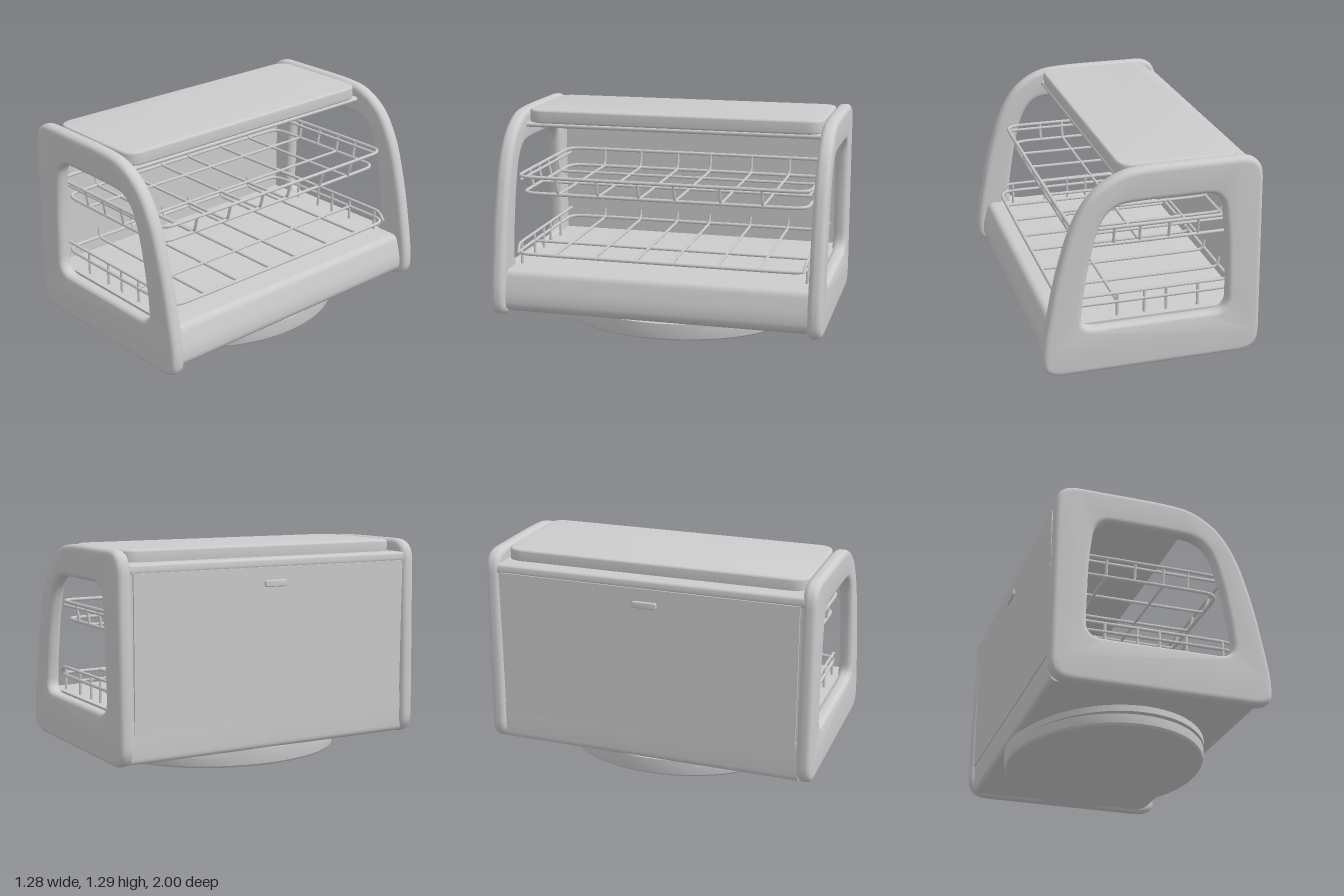
import * as THREE from 'three';
import { toCreasedNormals } from 'three/addons/utils/BufferGeometryUtils.js';

const material = new THREE.MeshStandardMaterial({ color: 0xcccccc });
const V = (x, y, z = 0) => new THREE.Vector3(x, y, z);

function add(parent, name, geometry, x = 0, y = 0, z = 0) {
  const mesh = new THREE.Mesh(geometry, material);
  mesh.name = name;
  mesh.position.set(x, y, z);
  parent.add(mesh);
  return mesh;
}

// Replaces each corner of a polyline with a small curve of size r
function roundCorners(points, r, closed) {
  const n = points.length, out = [];
  points.forEach((p, i) => {
    if (!closed && (i === 0 || i === n - 1)) return out.push(p);
    const toward = (q) => {
      const d = q.clone().sub(p);
      return p.clone().addScaledVector(d.clone().normalize(), Math.min(r, d.length() * 0.45));
    };
    const a = toward(points[(i + n - 1) % n]), b = toward(points[(i + 1) % n]);
    out.push(...new THREE.QuadraticBezierCurve3(a, p, b).getPoints(6));
  });
  return out;
}

function wire(parent, name, points, { radius = 0.009, r = 0.03, closed = false } = {}) {
  const curve = new THREE.CatmullRomCurve3(roundCorners(points, r, closed), closed, 'centripetal');
  const segments = Math.max(4, Math.ceil(curve.getLength() * 40));
  add(parent, name, new THREE.TubeGeometry(curve, segments, radius, 6, closed));
}

// Rectangular wire loop lying flat at height y
const loop = (parent, name, x0, x1, y, z, r = 0.09) =>
  wire(parent, name, [V(x0, y, -z), V(x1, y, -z), V(x1, y, z), V(x0, y, z)], { r, closed: true, radius: 0.011 });

function outline(coords, r) {
  return roundCorners(coords.map(([x, y]) => V(x, y)), r, true).map((p) => new THREE.Vector2(p.x, p.y));
}

// Soft-edged extrusion centred on z = 0, keeping the drawn outline as its outer size
function extrude(shape, depth, bevel) {
  const g = new THREE.ExtrudeGeometry(shape, {
    depth: depth - 2 * bevel, bevelEnabled: bevel > 0, bevelThickness: bevel,
    bevelSize: bevel, bevelOffset: -bevel, bevelSegments: 5, curveSegments: 8,
  });
  g.translate(0, 0, -(depth - 2 * bevel) / 2);
  return toCreasedNormals(g, 0.6);
}

// Rounded slab: the plan lies in x and z, the thickness runs along y
function slab(x0, x1, z, thickness, r, bevel) {
  const shape = new THREE.Shape(outline([[x0, -z], [x1, -z], [x1, z], [x0, z]], r));
  return extrude(shape, thickness, bevel).rotateX(-Math.PI / 2);
}

function buildPanels(group) {
  const shape = new THREE.Shape(outline([
    [-0.645, 0.085], [0.635, 0.085], [0.645, 0.25], [0.565, 0.67], [0.475, 0.98],
    [0.36, 1.17], [0.19, 1.275], [0, 1.29], [-0.622, 1.29],
  ], 0.13));
  const hole = outline([
    [-0.442, 0.362], [0.42, 0.362], [0.41, 0.52], [0.365, 0.79], [0.305, 1.0],
    [0.22, 1.085], [0.08, 1.095], [-0.39, 1.095], [-0.425, 0.82],
  ], 0.1);
  shape.holes.push(new THREE.Path(hole.reverse()));
  const geometry = extrude(shape, 0.085, 0.032);
  for (const s of [1, -1]) add(group, s > 0 ? 'frontEndPanel' : 'backEndPanel', geometry, 0, 0, s * 0.9575);
}

function buildBody(group) {
  const base = new THREE.Shape(outline([
    [-0.615, 0.1], [0.53, 0.1], [0.605, 0.14], [0.605, 0.22], [0.565, 0.368], [-0.615, 0.368],
  ], 0.04));
  add(group, 'baseTray', extrude(base, 1.85, 0));
  add(group, 'rearWall', new THREE.BoxGeometry(0.05, 0.94, 1.85), -0.585, 0.73, 0);
  add(group, 'rearDoor', new THREE.BoxGeometry(0.02, 0.89, 1.81), -0.612, 0.72, 0);
  const handle = slab(-0.02, 0.02, 0.075, 0.02, 0.015, 0.006).rotateZ(Math.PI / 2);
  add(group, 'rearHandle', handle, -0.625, 1.07, 0);

  // Roof: rounded rear shoulder, flat underside and raised lid
  const roof = new THREE.Shape(outline([
    [-0.615, 1.15], [-0.55, 1.15], [-0.53, 1.175], [0.18, 1.175], [0.18, 1.205], [-0.49, 1.215], [-0.615, 1.215],
  ], 0.025));
  add(group, 'roof', extrude(roof, 1.85, 0));
  add(group, 'roofLid', slab(-0.515, 0.18, 0.915, 0.085, 0.1, 0.014), 0, 1.2425, 0);
}

function buildFoot(group) {
  const profile = [[0, 0], [0.975, 0], [0.99, 0.012], [1, 0.055], [1, 0.105], [0, 0.105]]
    .map(([x, y]) => new THREE.Vector2(x, y));
  const foot = toCreasedNormals(new THREE.LatheGeometry(profile, 64), 0.6);
  add(group, 'foot', foot.clone().scale(0.585, 1, 0.72), -0.025, 0, 0);
  const ring = new THREE.CylinderGeometry(1, 1, 0.04, 64).scale(0.58, 1, 0.76);
  add(group, 'footCollar', ring, -0.025, 0.083, 0);
}

const crossZ = [-0.61, -0.36, -0.085, 0.135, 0.39, 0.64];

function buildUpperRack(group) {
  const rack = new THREE.Group();
  rack.name = 'upperRack';
  group.add(rack);
  loop(rack, 'topRail', -0.55, 0.43, 0.917, 0.89);
  loop(rack, 'bottomRail', -0.52, 0.39, 0.81, 0.87);
  // Cross wires bend up to the rail at both ends
  for (const z of crossZ) {
    wire(rack, 'crossWire', [V(-0.55, 0.917, z), V(-0.53, 0.81, z), V(0.4, 0.81, z), V(0.43, 0.917, z)]);
  }
  for (const x of [-0.29, -0.12, 0.05, 0.2]) {
    for (const s of [1, -1]) wire(rack, 'endPost', [V(x, 0.917, s * 0.89), V(x, 0.81, s * 0.87)]);
  }
  for (const x of [-0.29, 0.05]) wire(rack, 'longWire', [V(x, 0.81, -0.87), V(x, 0.81, 0.87)]);
  for (const s of [1, -1]) wire(rack, 'endRail', [V(-0.53, 0.89, s * 0.88), V(0.4, 0.89, s * 0.88)]);
}

function buildLowerRack(group) {
  const rack = new THREE.Group();
  rack.name = 'lowerRack';
  group.add(rack);
  loop(rack, 'mainRail', -0.53, 0.49, 0.455, 0.88);
  // Cross wires rise at the back to stop the trays
  for (const z of crossZ) {
    wire(rack, 'crossWire', [V(-0.53, 0.52, z), V(-0.52, 0.455, z), V(0.49, 0.455, z)]);
  }
  wire(rack, 'longWire', [V(0.18, 0.455, -0.88), V(0.18, 0.455, 0.88)]);
  for (const s of [1, -1]) {
    wire(rack, 'endRail', [V(-0.53, 0.51, s * 0.88), V(0.44, 0.505, s * 0.88), V(0.49, 0.455, s * 0.87)]);
    for (const x of [-0.3, -0.11, 0.02, 0.18, 0.4]) {
      wire(rack, 'endPost', [V(x, 0.505, s * 0.88), V(x, 0.365, s * 0.88)]);
    }
  }
}

export function createModel() {
  const group = new THREE.Group();
  group.name = 'displayWarmer';
  buildPanels(group);
  buildBody(group);
  buildFoot(group);
  buildUpperRack(group);
  buildLowerRack(group);
  return group;
}
